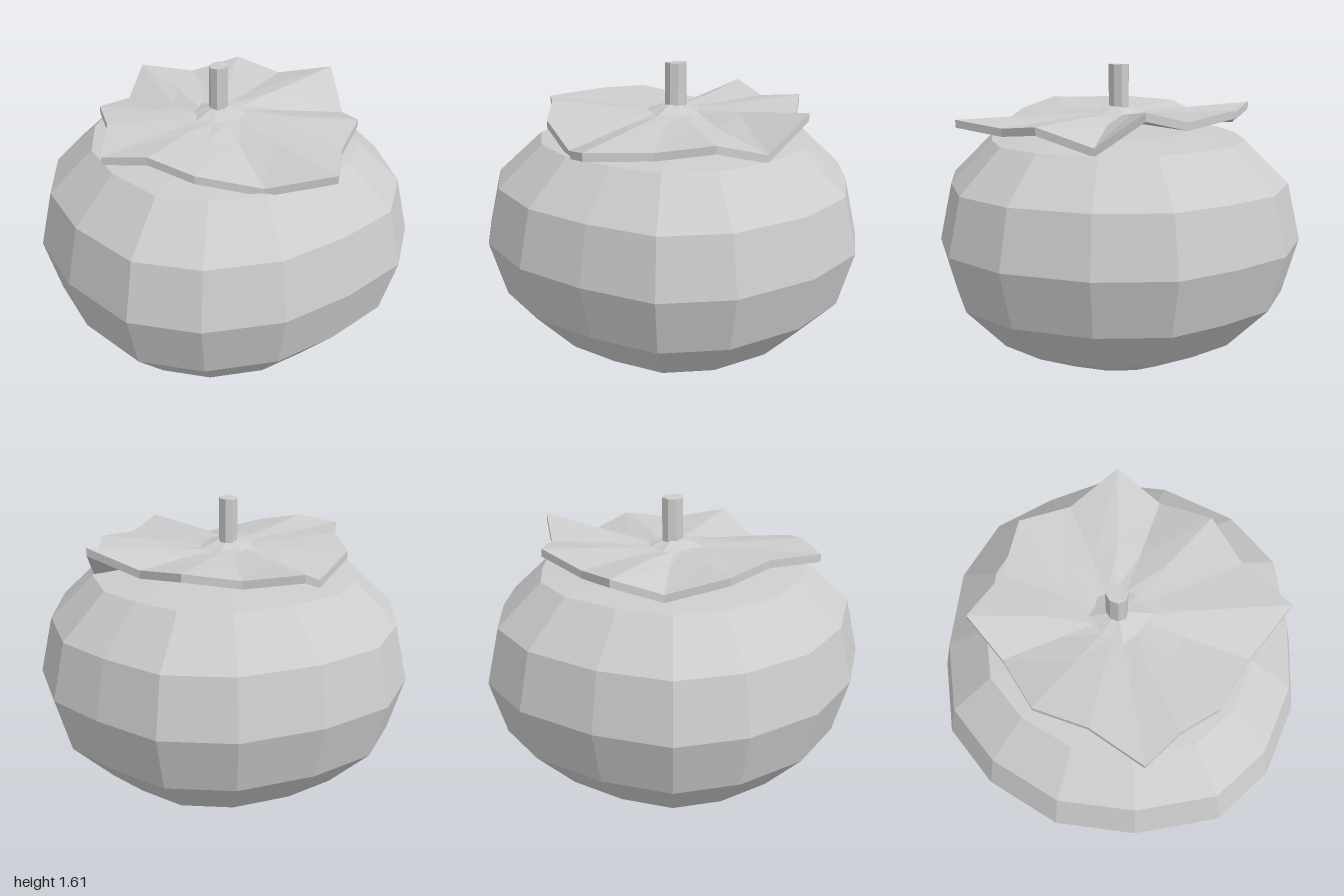
import * as THREE from 'three';

const grey = new THREE.MeshStandardMaterial({ color: 0xcccccc, flatShading: true });
grey.name = 'plain grey';

// Skin closed rings of [x, y, z], listed bottom to top; the end rings are single points.
function skin(name, rings) {
  const n = rings[1].length, last = rings.length - 1, tri = [];
  const p = (r, i) => rings[r][i % n];
  for (let r = 0; r < last; r++) {
    for (let i = 0; i < n; i++) {
      if (r > 0) tri.push(p(r, i), p(r + 1, i), p(r, i + 1));
      if (r < last - 1) tri.push(p(r, i + 1), p(r + 1, i), p(r + 1, i + 1));
      if (r === last - 1) tri.splice(tri.length - 3, 3, p(r, i), p(r + 1, i), p(r, i + 1));
    }
  }
  const geo = new THREE.BufferGeometry();
  geo.setAttribute('position', new THREE.Float32BufferAttribute(tri.flat(), 3));
  geo.computeVertexNormals();
  const mesh = new THREE.Mesh(geo, grey);
  mesh.name = name;
  return mesh;
}

// Widest outline of the fruit, slightly uneven, as [x, z]
const girth = [
  [0.04, -1], [0.37, -0.89], [0.65, -0.75], [0.87, -0.43], [0.98, -0.01], [0.92, 0.35],
  [0.67, 0.64], [0.38, 0.88], [0.01, 1], [-0.34, 0.96], [-0.68, 0.69], [-0.91, 0.35],
  [-0.98, -0.05], [-0.92, -0.4], [-0.67, -0.69], [-0.32, -0.93],
];

// Fruit profile as [scale of girth, height]
const profile = [
  [0, 0], [0.39, 0.06], [0.7, 0.21], [0.92, 0.44], [1, 0.73],
  [0.93, 1.02], [0.7, 1.235], [0.39, 1.265], [0, 1.26],
];

// Rim of the leafy cap as [x, top height, z]
const rim = [
  [0.01, 1.41, -0.69], [0.25, 1.37, -0.57], [0.54, 1.44, -0.51], [0.61, 1.27, -0.28],
  [0.68, 1.355, 0], [0.6, 1.32, 0.27], [0.58, 1.34, 0.59], [0.25, 1.26, 0.6],
  [-0.06, 1.34, 0.66], [-0.28, 1.39, 0.6], [-0.5, 1.37, 0.58], [-0.54, 1.39, 0.27],
  [-0.64, 1.37, 0.01], [-0.55, 1.3, -0.28], [-0.52, 1.4, -0.53], [-0.24, 1.36, -0.57],
];

export function createModel() {
  const model = new THREE.Group();
  model.name = 'persimmon';

  // Round body
  model.add(skin('fruitBody', profile.map(([s, y]) => girth.map(([x, z]) => [x * s, y, z * s]))));

  // Wavy cap with an underside, a thin edge and a raised middle
  const capRing = (s, drop) => rim.map(([x, y, z]) => {
    const hub = s < 0.3 ? 1.41 - s * 0.25 : 1.36;
    const wave = Math.max(0, (s - 0.2) / 0.8);
    return [x * s - 0.03 * (1 - s), hub + (y - hub) * wave - drop, z * s];
  });
  const spans = [0, 0.2, 0.5, 1];
  model.add(skin('leafCap', [
    ...spans.map((s) => capRing(s, 0.04)),
    ...spans.slice().reverse().map((s) => capRing(s, 0)),
  ]));

  // Stem with a slightly slanted cut
  const geo = new THREE.CylinderGeometry(0.048, 0.048, 0.27, 8);
  const pos = geo.attributes.position;
  for (let i = 0; i < pos.count; i++) {
    if (pos.getY(i) > 0) pos.setY(i, pos.getY(i) - 0.1 * Math.abs(pos.getX(i) - 0.02));
  }
  geo.computeVertexNormals();
  const stem = new THREE.Mesh(geo, grey);
  stem.name = 'stem';
  stem.scale.z = 1.2;
  stem.position.set(-0.027, 1.477, -0.01);
  model.add(stem);

  return model;
}
